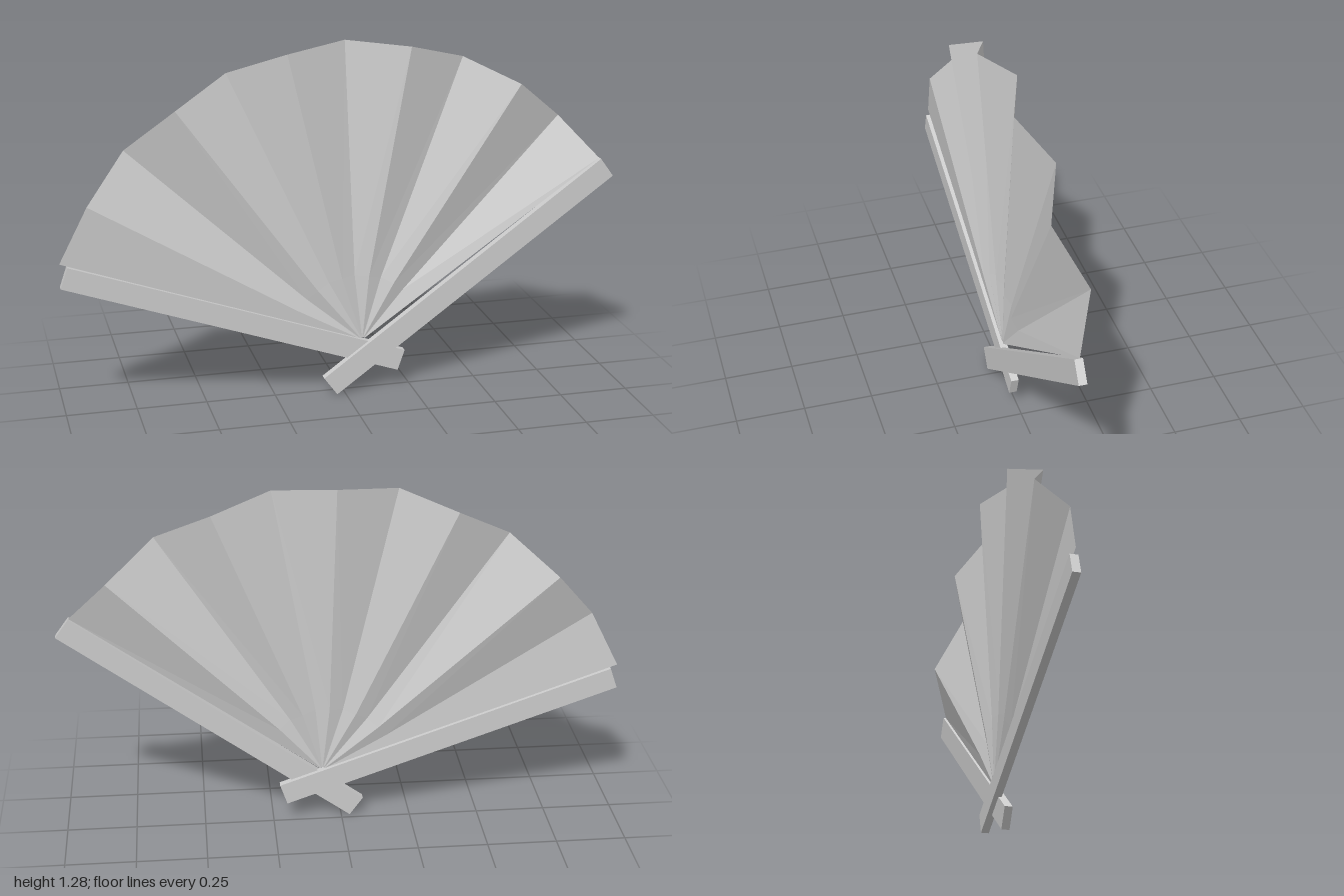
import * as THREE from 'three';

const material = new THREE.MeshStandardMaterial({ color: 0xcccccc, flatShading: true, side: THREE.DoubleSide });

// Flat outer guard of the fan, laid between two end points of its centre line
function guard(name, x0, y0, x1, y1, width, zBack, zFront) {
  const length = Math.hypot(x1 - x0, y1 - y0);
  const mesh = new THREE.Mesh(new THREE.BoxGeometry(length, width, zFront - zBack), material);
  mesh.position.set((x0 + x1) / 2, (y0 + y1) / 2, (zBack + zFront) / 2);
  mesh.rotation.z = Math.atan2(y1 - y0, x1 - x0);
  mesh.name = name;
  return mesh;
}

// Pleated leaf: folds run from the pivot through a narrow throat to the rim
function pleatedLeaf() {
  const pivot = { x: 0.07, y: 0.195, z: 0.018 };
  const rim = [
    [-1, 0.57], [-0.9, 0.77], [-0.76, 0.94], [-0.59, 1.085], [-0.4, 1.19], [-0.2, 1.26],
    [0.02, 1.285], [0.24, 1.265], [0.45, 1.205], [0.645, 1.11], [0.815, 0.97], [0.95, 0.82],
  ];
  const last = rim.length - 1;
  const folds = rim.map(([x, y], i) => {
    const z = i === 0 ? 0.016 : i % 2 ? 0.03 : -0.047;
    const shift = i === 0 || i === last ? 0 : -0.015;
    const at = (t, dx, zt) => [
      pivot.x + (x - pivot.x) * t + dx,
      pivot.y + (y - pivot.y) * t,
      pivot.z + (z - pivot.z) * zt,
    ];
    return [at(0.01, 0, 0), at(0.225, shift, 0.2), at(1, 0, 1)];
  });

  const positions = [];
  for (let i = 0; i < last; i++) {
    const a = folds[i], b = folds[i + 1];
    for (let k = 0; k < 2; k++) {
      positions.push(...a[k], ...b[k], ...b[k + 1], ...a[k], ...b[k + 1], ...a[k + 1]);
    }
  }
  const geometry = new THREE.BufferGeometry();
  geometry.setAttribute('position', new THREE.Float32BufferAttribute(positions, 3));
  geometry.computeVertexNormals();
  const mesh = new THREE.Mesh(geometry, material);
  mesh.name = 'pleatedLeaf';
  return mesh;
}

export function createModel() {
  const fan = new THREE.Group();
  fan.name = 'foldingFan';
  fan.add(
    pleatedLeaf(),
    guard('frontGuard', -0.055, 0.0375, 0.975, 0.7875, 0.082, 0.02, 0.048),
    guard('rearGuard', -0.9875, 0.5225, 0.2125, 0.1075, 0.079, 0.003, 0.031),
  );
  return fan;
}
